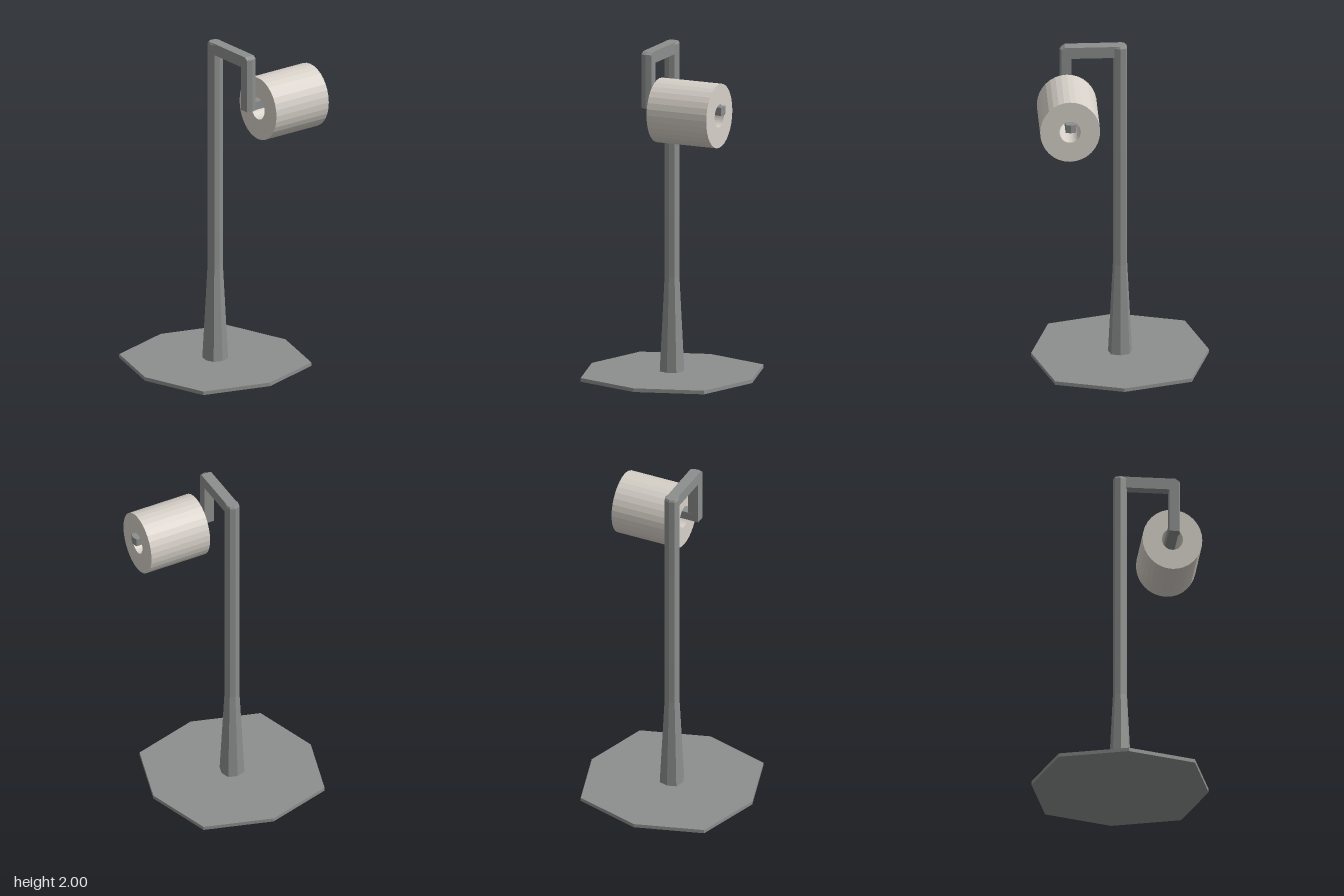
import * as THREE from 'three';

const metal = new THREE.MeshStandardMaterial({ color: 0x8c8f8d, flatShading: true });
metal.name = 'grey metal';
const paper = new THREE.MeshStandardMaterial({ color: 0xd6d0c8, flatShading: true });
paper.name = 'warm white paper';

// Solid from stacked outlines: each section is { y, points: [[x, z], ...] },
// with points running counter-clockwise as seen from above.
function loft(sections) {
  const pos = [];
  const n = sections[0].points.length;
  const at = (s, i) => {
    const [x, z] = sections[s].points[i % n];
    return [x, sections[s].y, z];
  };
  const tri = (a, b, c) => pos.push(...a, ...b, ...c);
  const last = sections.length - 1;
  for (let s = 0; s < last; s++) {
    for (let i = 0; i < n; i++) {
      tri(at(s, i), at(s, i + 1), at(s + 1, i + 1));
      tri(at(s, i), at(s + 1, i + 1), at(s + 1, i));
    }
  }
  for (let i = 1; i < n - 1; i++) {
    tri(at(0, 0), at(0, i + 1), at(0, i));
    tri(at(last, 0), at(last, i), at(last, i + 1));
  }
  const geo = new THREE.BufferGeometry();
  geo.setAttribute('position', new THREE.Float32BufferAttribute(pos, 3));
  geo.computeVertexNormals();
  return geo;
}

// Eight-sided outline whose diagonal corners reach a little further out
function octagon(r) {
  return Array.from({ length: 8 }, (_, i) => {
    const a = (i * Math.PI) / 4;
    const k = i % 2 ? r * 1.088 : r;
    return [Math.sin(a) * k, Math.cos(a) * k];
  });
}

export function createModel() {
  const group = new THREE.Group();
  const add = (name, geo, mat) => {
    const mesh = new THREE.Mesh(geo, mat);
    mesh.name = name;
    group.add(mesh);
    return mesh;
  };

  // Wide foot plate, very slightly domed
  add('basePlate', loft([
    { y: 0, points: octagon(0.08) },
    { y: 0.01, points: octagon(0.518) },
    { y: 0.032, points: octagon(0.518) },
    { y: 0.036, points: octagon(0.08) },
  ]), metal);

  // Post, flared towards the foot
  add('post', loft([
    { y: 0.03, points: octagon(0.07) },
    { y: 0.6, points: octagon(0.042) },
    { y: 1.988, points: octagon(0.042) },
    { y: 2.0, points: octagon(0.036) },
  ]), metal);

  // Horizontal arm
  const arm = add('arm', new THREE.BoxGeometry(0.064, 0.07, 0.29), metal);
  arm.position.set(0, 1.965, 0.145);

  // Drop with a ridged front and a chamfered top corner
  const w = 0.032;
  const drop = (front, ridge) => [[-w, front], [0, ridge], [w, front], [w, 0.285], [-w, 0.285]];
  add('drop', loft([
    { y: 1.665, points: drop(0.342, 0.352) },
    { y: 1.985, points: drop(0.342, 0.352) },
    { y: 2.0, points: drop(0.32, 0.325) },
  ]), metal);

  // Rod through the roll, with a blunt pointed tip
  const rod = [[-w, 0.342], [0.48, 0.342], [0.49, 0.312], [0.48, 0.28], [-w, 0.285]];
  add('rod', loft([
    { y: 1.666, points: rod },
    { y: 1.715, points: rod },
  ]), metal);

  // Paper roll: hollow faceted cylinder, slightly taller than deep
  const profile = [[0.062, 0], [0.175, 0], [0.175, 0.386], [0.062, 0.386], [0.062, 0]]
    .map(([r, h]) => new THREE.Vector2(r, h));
  const rollGeo = new THREE.LatheGeometry(profile, 32);
  rollGeo.rotateZ(-Math.PI / 2);
  rollGeo.scale(1, 1.085, 1);
  const roll = add('paperRoll', rollGeo, paper);
  roll.position.set(0.071, 1.658, 0.314);

  return group;
}
